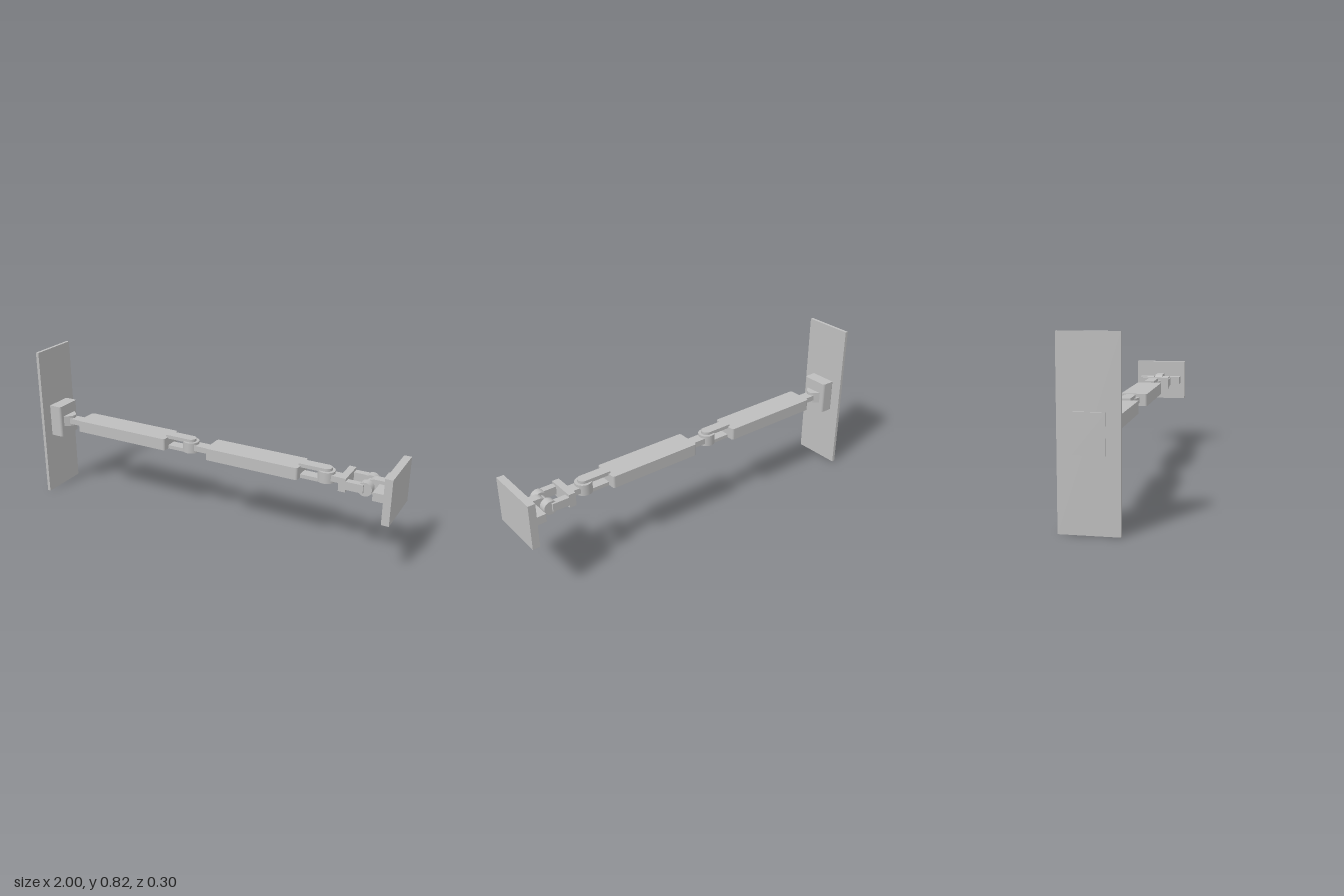
import * as THREE from 'three';

const grey = new THREE.MeshStandardMaterial({ color: 0xbebebe });
grey.name = 'light grey metal';
const MID = 0.412;

export function createModel() {
  const root = new THREE.Group();
  root.name = 'jointedArm';

  const add = (name, geometry) => {
    const mesh = new THREE.Mesh(geometry, grey);
    mesh.name = name;
    root.add(mesh);
    return mesh;
  };

  // box given by its limits on each axis
  const box = (name, x0, x1, y0, y1, z0, z1) => {
    const mesh = add(name, new THREE.BoxGeometry(x1 - x0, y1 - y0, z1 - z0));
    mesh.position.set((x0 + x1) / 2, (y0 + y1) / 2, (z0 + z1) / 2);
    return mesh;
  };

  // outline in x/z, raised from y0 to y1
  const slab = (name, shape, y0, y1) => {
    const g = new THREE.ExtrudeGeometry(shape, { depth: y1 - y0, bevelEnabled: false, curveSegments: 12 });
    g.rotateX(-Math.PI / 2);
    g.translate(0, y0, 0);
    return add(name, g);
  };

  // bar outline, with a half-round end at x1
  const tongueShape = (x0, x1, r) => {
    const s = new THREE.Shape();
    s.moveTo(x0, -r);
    s.lineTo(x1, -r);
    s.absarc(x1, 0, r, -Math.PI / 2, Math.PI / 2, false);
    s.lineTo(x0, r);
    return s;
  };

  const roundedShape = (x0, x1, h, r) => {
    const s = new THREE.Shape();
    s.absarc(x1 - r, -h + r, r, -Math.PI / 2, 0, false);
    s.absarc(x1 - r, h - r, r, 0, Math.PI / 2, false);
    s.absarc(x0 + r, h - r, r, Math.PI / 2, Math.PI, false);
    s.absarc(x0 + r, -h + r, r, Math.PI, Math.PI * 1.5, false);
    return s;
  };

  // tall back plate and the shoulder block passing through it
  box('backPlate', -0.992, -0.975, 0, 0.82, -0.131, 0.131);
  box('shoulderBlock', -1, -0.975, 0.328, 0.503, -0.07, 0.07);
  slab('shoulderBlockFront', roundedShape(-0.985, -0.904, 0.073, 0.014), 0.328, 0.503);

  // tapered lug on the shoulder block
  const lug = new THREE.Shape();
  lug.moveTo(-0.906, -0.05);
  lug.lineTo(-0.88, -0.03);
  lug.quadraticCurveTo(-0.845, 0, -0.88, 0.03);
  lug.lineTo(-0.906, 0.05);
  slab('shoulderLug', lug, 0.384, 0.442);

  // two arm segments, each with a stem, body, fork and knuckle
  const segments = [
    { stem: -0.88, start: -0.79, end: -0.233, pivot: -0.11 },
    { stem: -0.11, start: 0.01, end: 0.514, pivot: 0.638 },
  ];
  for (const { stem, start, end, pivot } of segments) {
    box('armStem', stem, start + 0.01, 0.397, 0.427, -0.028, 0.028);
    slab('armBody', roundedShape(start, end, 0.068, 0.012), 0.382, 0.445);
    slab('forkUpperProng', tongueShape(end - 0.012, pivot, 0.028), 0.436, 0.455);
    slab('forkLowerProng', tongueShape(end - 0.012, pivot, 0.028), 0.38, 0.399);
    const knuckle = add('knuckle', new THREE.CylinderGeometry(0.043, 0.043, 0.057, 28));
    knuckle.position.set(pivot, MID, 0);
  }

  // wrist yoke: cross bar with an arm on either side
  box('wristStem', 0.64, 0.735, 0.397, 0.427, -0.028, 0.028);
  box('yokeBar', 0.725, 0.76, 0.38, 0.45, -0.076, 0.076);
  for (const side of [-1, 1]) {
    const lo = side < 0 ? -0.076 : 0.042;
    box('yokeArm', 0.75, 0.845, 0.394, 0.436, lo, lo + 0.034);
    // cheeks of the wrist pivot
    const z = side * 0.046;
    const cheek = add('wristCheek', new THREE.CylinderGeometry(0.035, 0.035, 0.04, 24));
    cheek.rotation.x = Math.PI / 2;
    cheek.position.set(0.85, MID, z);
  }

  // upright tongue with a round nose, carrying the tool plate
  const nose = new THREE.Shape();
  nose.moveTo(0.965, MID + 0.04);
  nose.lineTo(0.885, MID + 0.04);
  nose.absarc(0.885, MID, 0.04, Math.PI / 2, Math.PI * 1.5, false);
  nose.lineTo(0.965, MID - 0.04);
  const tongue = add('wristTongue', new THREE.ExtrudeGeometry(nose, { depth: 0.044, bevelEnabled: false, curveSegments: 12 }));
  tongue.position.z = -0.022;
  const pin = add('wristPin', new THREE.CylinderGeometry(0.02, 0.02, 0.1, 20));
  pin.rotation.x = Math.PI / 2;
  pin.position.set(0.85, MID, 0);

  // tool plate and its cross rib
  box('plateRib', 0.905, 0.966, 0.393, 0.435, -0.122, 0.122);
  box('toolPlate', 0.963, 1, 0.296, 0.527, -0.148, 0.148);

  return root;
}
